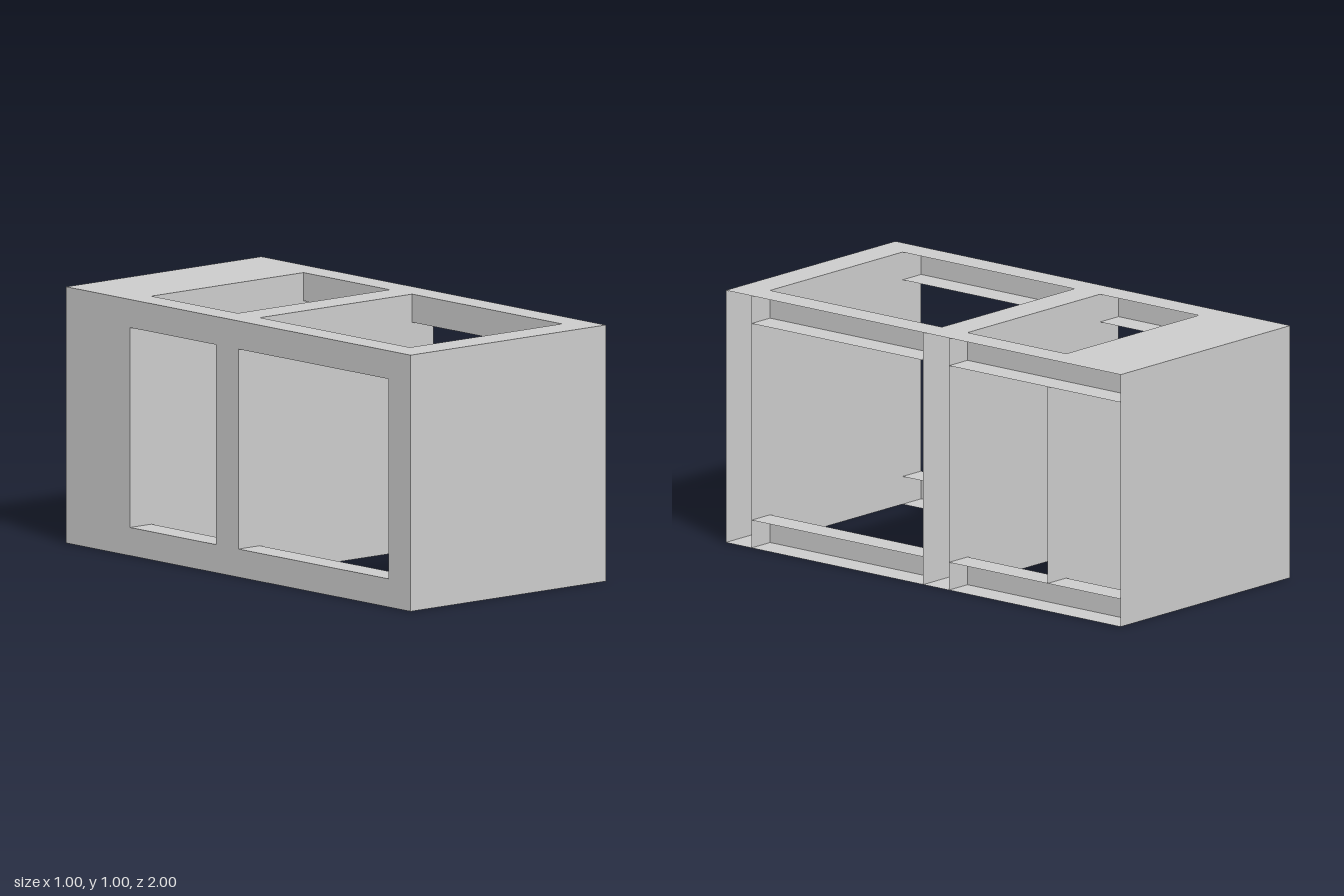
import * as THREE from 'three';

const W = 0.5, IN = 0.39;            // outer half width, inner edge of the rails
const LOW = 0.11, HIGH = 0.89;       // rail thickness at bottom and top
const FRONT = 0.87, MID0 = 0, MID1 = -0.13, BACK = -0.63;
const BAYS = [[MID0, FRONT], [BACK, MID1]];         // the two open bays along z
const RAILS = [[MID0, FRONT], [-1, MID1]];          // rail runs along z

// rectangle outline [u0, u1, v0, v1]
function rect([u0, u1, v0, v1], Kind = THREE.Shape) {
  const s = new Kind();
  s.moveTo(u0, v0).lineTo(u1, v0).lineTo(u1, v1).lineTo(u0, v1).closePath();
  return s;
}

export function createModel() {
  const group = new THREE.Group();
  const material = new THREE.MeshStandardMaterial({
    color: 0xcccccc, flatShading: true, side: THREE.DoubleSide,
  });

  // flat sheet across an axis: x sheets use (z, y), y sheets (x, z), z sheets (x, y)
  function sheet(name, axis, at, shape, flip = false) {
    const geo = new THREE.ShapeGeometry(shape);
    if (axis === 'x') geo.rotateY(-Math.PI / 2);     // faces -x
    if (axis === 'y') geo.rotateX(Math.PI / 2);      // faces -y
    if (flip) {
      geo.index.array.reverse();
      const n = geo.attributes.normal;
      for (let i = 0; i < n.array.length; i++) n.array[i] *= -1;
    }
    const mesh = new THREE.Mesh(geo, material);
    mesh.position[axis] = at;
    mesh.name = name;
    group.add(mesh);
  }

  // side frame with two window openings; the opposite side is left open
  const side = rect([-1, 1, 0, 1]);
  for (const [z0, z1] of BAYS) side.holes.push(rect([z0, z1, LOW, HIGH], THREE.Path));
  sheet('sideFrame', 'x', -W, side);

  // top and bottom frames with matching openings
  const deck = rect([-W, W, -1, 1]);
  for (const [z0, z1] of BAYS) deck.holes.push(rect([-IN, IN, z0, z1], THREE.Path));
  sheet('topFrame', 'y', 1, deck, true);
  sheet('bottomFrame', 'y', 0, deck);

  // full cross walls: front slab, middle partition and back
  const full = rect([-W, W, 0, 1]);
  sheet('frontWall', 'z', 1, full);
  sheet('frontWallInner', 'z', FRONT, full, true);
  sheet('partitionFront', 'z', MID0, full);
  sheet('partitionBack', 'z', MID1, full, true);
  sheet('backWall', 'z', -1, full, true);

  // inner face of the back block, notched at the corners where the rails pass
  const cross = new THREE.Shape([
    [-IN, 0], [IN, 0], [IN, LOW], [W, LOW], [W, HIGH], [IN, HIGH],
    [IN, 1], [-IN, 1], [-IN, HIGH], [-W, HIGH], [-W, LOW], [-IN, LOW],
  ].map(([x, y]) => new THREE.Vector2(x, y)));
  sheet('backBlockInner', 'z', BACK, cross);

  // open channel rails in the four long corners
  for (const [z0, z1] of RAILS) {
    for (const [x0, x1] of [[-W, -IN], [IN, W]]) {
      sheet('lowerRailTop', 'y', LOW, rect([x0, x1, z0, z1]), true);
      sheet('upperRailUnderside', 'y', HIGH, rect([x0, x1, z0, z1]));
    }
    sheet('lowerRailWeb', 'x', IN, rect([z0, z1, 0, LOW]));
    sheet('upperRailWeb', 'x', IN, rect([z0, z1, HIGH, 1]));
  }
  return group;
}
